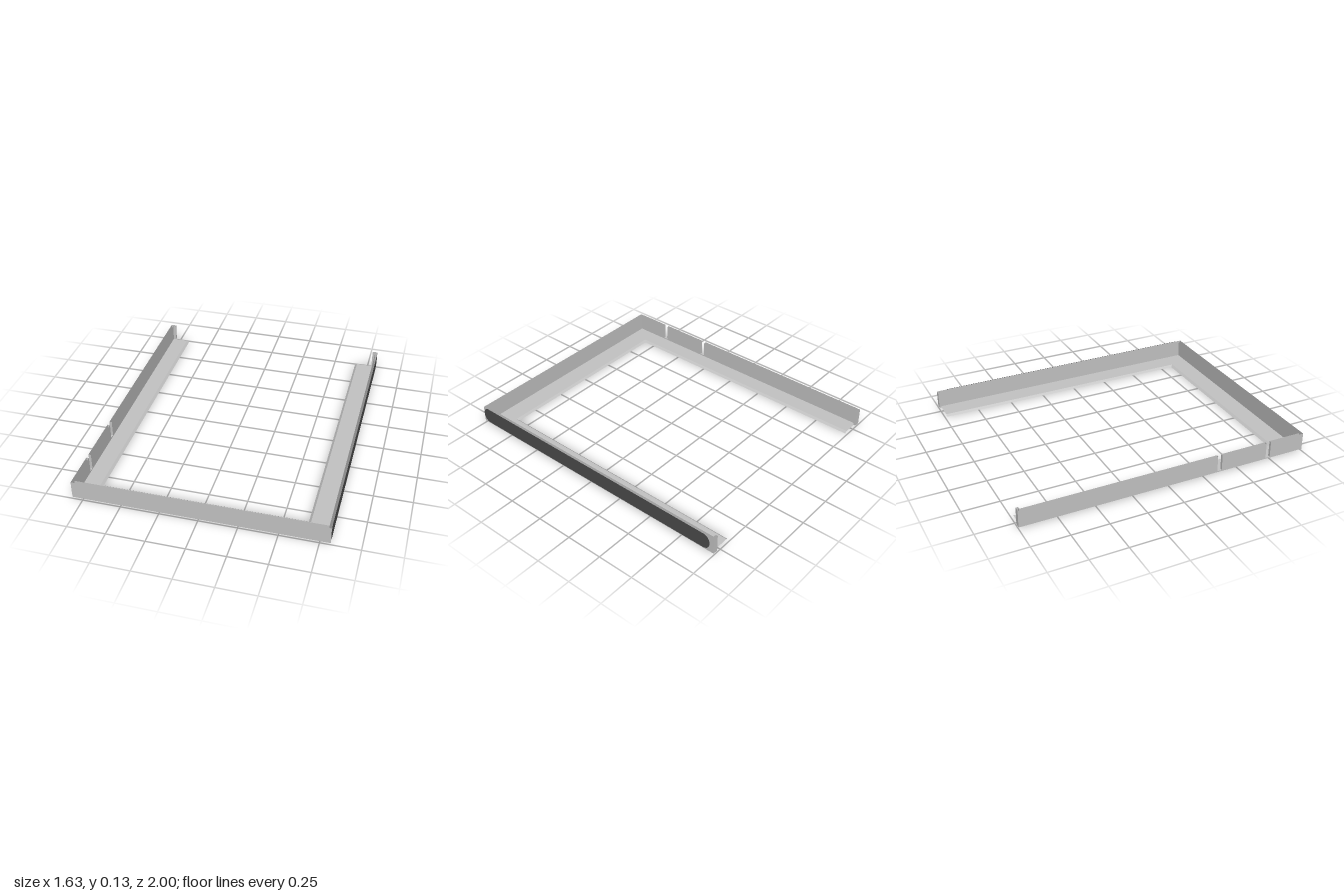
import * as THREE from 'three';

const OUT = 0.814, IN = 0.8;            // outer and inner wall skins
const FRONT = 1, FRONT_IN = 0.98, BACK = -1, BACK_IN = -0.985;
const LOW = 0.013, HIGH = 0.13;         // floor level and wall top

export function createModel() {
  const model = new THREE.Group();
  model.name = 'edgeFrame';
  const light = new THREE.MeshStandardMaterial({ color: 0xc2c2c2, side: THREE.DoubleSide });
  light.name = 'lightGrey';
  const dark = new THREE.MeshStandardMaterial({ color: 0x4c4c4c, side: THREE.DoubleSide });
  dark.name = 'darkGrey';

  // Thin sheet from four corners, counter-clockwise seen from its front
  function sheet(name, ...corners) {
    const geo = new THREE.BufferGeometry();
    geo.setAttribute('position', new THREE.Float32BufferAttribute(corners.flat(), 3));
    geo.setIndex([0, 1, 2, 0, 2, 3]);
    geo.computeVertexNormals();
    const mesh = new THREE.Mesh(geo, light);
    mesh.name = name;
    model.add(mesh);
  }
  // Upright sheets: along z facing +x or -x, and along x facing +z or -z
  const alongZ = (name, x, z0, z1, facing, y0 = LOW, y1 = HIGH) => {
    const [a, b] = facing > 0 ? [z1, z0] : [z0, z1];
    sheet(name, [x, y0, a], [x, y0, b], [x, y1, b], [x, y1, a]);
  };
  const alongX = (name, z, x0, x1, facing, y0 = LOW, y1 = HIGH) => {
    const [a, b] = facing > 0 ? [x0, x1] : [x1, x0];
    sheet(name, [a, y0, z], [b, y0, z], [b, y1, z], [a, y1, z]);
  };
  const flat = (name, x0, x1, z0, z1, y) =>
    sheet(name, [x0, y, z1], [x1, y, z1], [x1, y, z0], [x0, y, z0]);

  // Front wall, two skins open at top and bottom
  alongX('frontWallOuter', FRONT, -0.817, 0.817, 1);
  alongX('frontWallInner', FRONT_IN, -IN, IN, -1);

  // Left wall
  alongZ('leftWallOuter', OUT, BACK, FRONT, 1);
  alongZ('leftWallInner', IN, BACK_IN, FRONT_IN, -1);

  // Right wall, cut by two slots that are open at the top
  const slots = [[0.346, 0.379], [0.713, 0.746]];
  const slotFloor = 0.02, rightOut = -0.817;
  const skins = [['rightWallOuter', rightOut, BACK, FRONT, -1], ['rightWallInner', -IN, BACK_IN, FRONT_IN, 1]];
  for (const [name, x, start, end, facing] of skins) {
    let z = start;
    for (const [z0, z1] of slots) {
      alongZ(name, x, z, z0, facing);
      alongZ(name, x, z0, z1, facing, LOW, slotFloor);
      z = z1;
    }
    alongZ(name, x, z, end, facing);
  }
  for (const [z0, z1] of slots) {
    flat('slotFloor', rightOut, -IN, z0, z1, slotFloor);
    alongX('slotSide', z0, rightOut, -IN, 1, slotFloor);
    alongX('slotSide', z1, rightOut, -IN, -1, slotFloor);
  }

  // Short returns at the back ends of both side walls
  for (const s of [-1, 1]) {
    const tip = s * 0.78, o = s * 0.815;
    alongX('endReturnBack', BACK, Math.min(tip, o), Math.max(tip, o), -1);
    alongX('endReturnFront', BACK_IN, Math.min(tip, s * IN), Math.max(tip, s * IN), 1);
    alongZ('endReturnEdge', tip, BACK, BACK_IN, -s);
  }

  // Floor flange in a U, with a small lip bent down along its inner edge
  const xl = -0.69, xr = 0.67, zf = 0.85, bend = 0.015;
  flat('rightFlange', -IN, xl, BACK_IN, FRONT_IN, LOW);
  flat('leftFlange', xr, IN, BACK_IN, FRONT_IN, LOW);
  flat('frontFlange', xl, xr, zf, FRONT_IN, LOW);
  const xa = xl + bend, xb = xr - bend, za = zf - bend;
  sheet('rightLip', [xl, LOW, zf], [xa, 0, za], [xa, 0, BACK_IN], [xl, LOW, BACK_IN]);
  sheet('leftLip', [xb, 0, za], [xr, LOW, zf], [xr, LOW, BACK_IN], [xb, 0, BACK_IN]);
  sheet('frontLip', [xl, LOW, zf], [xr, LOW, zf], [xb, 0, za], [xa, 0, za]);

  // Dark rounded strip on the outside of the left wall
  const z0 = -0.97, z1 = 1, y0 = 0.021, y1 = HIGH, r = 0.05;
  const strip = new THREE.Shape();
  strip.moveTo(-z1 + r, y0);
  strip.lineTo(-z0 - r, y0);
  strip.absarc(-z0 - r, y0 + r, r, -Math.PI / 2, 0);
  strip.absarc(-z0 - r, y1 - r, r, 0, Math.PI / 2);
  strip.absarc(-z1 + r, y1 - r, r, Math.PI / 2, Math.PI);
  strip.absarc(-z1 + r, y0 + r, r, Math.PI, Math.PI * 1.5);
  const band = new THREE.Mesh(new THREE.ShapeGeometry(strip, 6), dark);
  band.name = 'sideStrip';
  band.rotation.y = Math.PI / 2;
  band.position.x = 0.817;
  model.add(band);

  return model;
}
